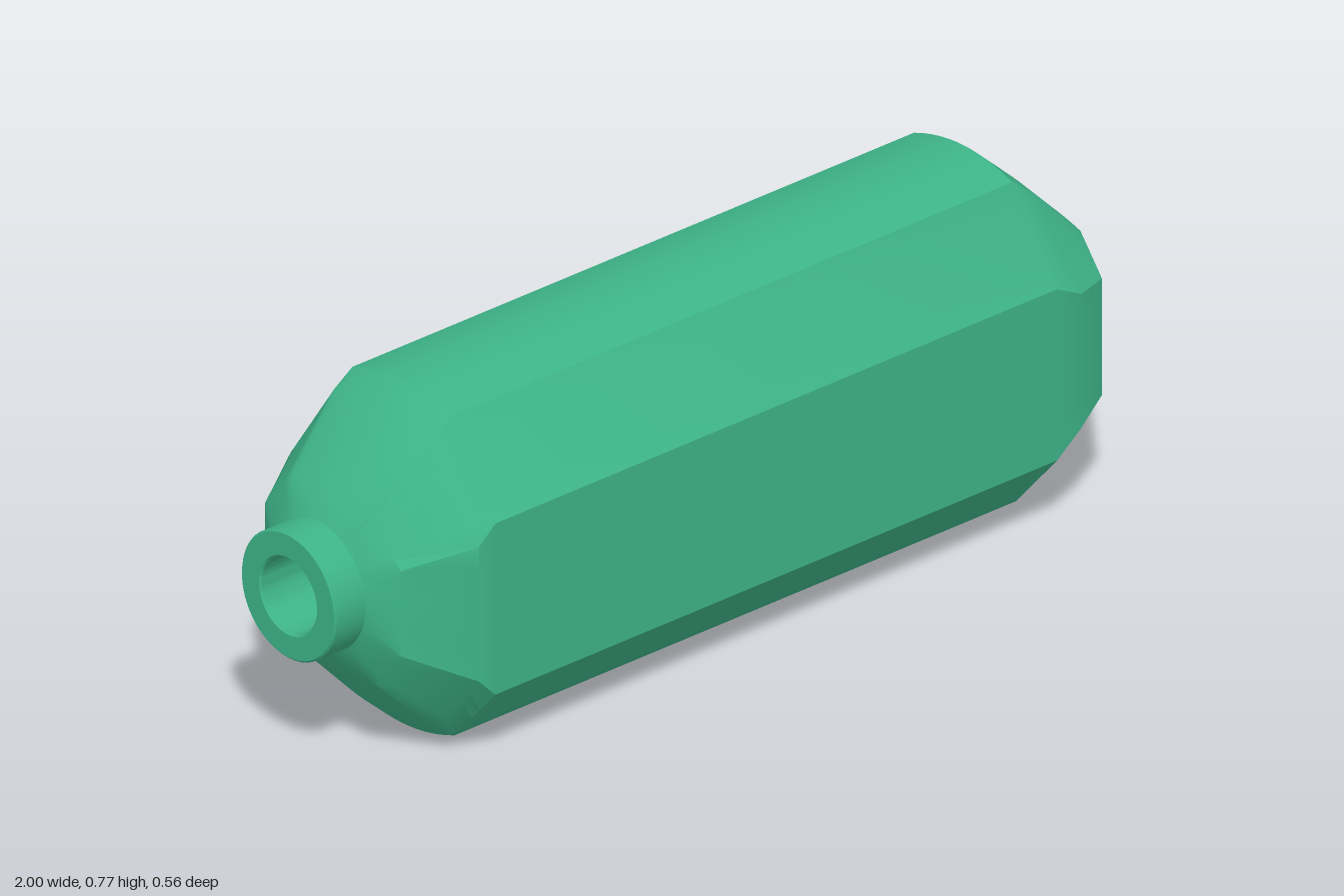
import * as THREE from 'three';
import { toCreasedNormals } from 'three/addons/utils/BufferGeometryUtils.js';

const MID_Y = 0.39;

// Expands half a section (top centre, top corner, side high, side low, bottom corner,
// bottom centre; each [x, y, z]) into a closed loop with bowed top and bottom edges.
function expand(half) {
  const steps = [8, 5, 6, 5, 8];
  const right = [];
  half.slice(0, 5).forEach((p, k) => {
    const q = half[k + 1];
    for (let i = 0; i < steps[k]; i++) {
      const t = i / steps[k];
      const bow = k === 0 ? t * t : k === 4 ? 1 - (1 - t) * (1 - t) : t;
      right.push(new THREE.Vector3(
        p[0] + (q[0] - p[0]) * t, p[1] + (q[1] - p[1]) * bow, p[2] + (q[2] - p[2]) * t));
    }
  });
  right.push(new THREE.Vector3(...half[5]));
  const left = right.slice(1, -1).reverse().map(p => new THREE.Vector3(p.x, p.y, -p.z));
  return [...right, ...left];
}

// x, y and z lists for the six half-section points
const section = (x, y, z) => expand(y.map((v, i) => [Array.isArray(x) ? x[i] : x, v, z[i]]));

// Circular loop matching the angles of another loop
const circle = (loop, x, r) => loop.map(p => {
  const a = Math.atan2(p.z, p.y - MID_Y);
  return new THREE.Vector3(x, MID_Y + r * Math.cos(a), r * Math.sin(a));
});

// Skins loops ordered along the body, leaving out collapsed triangles
function loft(loops, crease) {
  const pos = [];
  const tri = (a, b, c) => {
    if (a.distanceTo(b) < 1e-6 || b.distanceTo(c) < 1e-6 || a.distanceTo(c) < 1e-6) return;
    for (const p of [a, b, c]) pos.push(p.x, p.y, p.z);
  };
  for (let i = 0; i < loops.length - 1; i++) {
    const A = loops[i], B = loops[i + 1];
    for (let j = 0; j < A.length; j++) {
      const n = (j + 1) % A.length;
      tri(A[j], A[n], B[n]);
      tri(A[j], B[n], B[j]);
    }
  }
  const g = new THREE.BufferGeometry();
  g.setAttribute('position', new THREE.Float32BufferAttribute(pos, 3));
  return toCreasedNormals(g, crease);
}

export function createModel() {
  const group = new THREE.Group();
  const mint = new THREE.MeshStandardMaterial({ color: 0x3eb489 });
  mint.name = 'mint green';
  const add = (name, geometry) => {
    const mesh = new THREE.Mesh(geometry, mint);
    mesh.name = name;
    group.add(mesh);
    return mesh;
  };

  const mainY = [0.77, 0.742, 0.553, 0.17, 0.033, 0.002];
  const mainZ = [0, 0.145, 0.278, 0.278, 0.157, 0];

  // Shoulder, narrowing from the neck to the full section
  const shoulder = section(-0.88, [0.585, 0.575, 0.48, 0.29, 0.2, 0.19], [0, 0.125, 0.2, 0.2, 0.125, 0]);
  const shoulderOuter = section(-0.74, [0.732, 0.708, 0.515, 0.215, 0.068, 0.042], [0, 0.148, 0.278, 0.278, 0.155, 0]);
  const mainBack = section(-0.695, mainY, mainZ);

  // Tapered far end
  const mainFront = section(0.815, mainY, mainZ);
  const taper = section(0.88, [0.71, 0.688, 0.52, 0.22, 0.085, 0.062], [0, 0.15, 0.278, 0.278, 0.158, 0]);
  const endX = [1, 0.985, 0.975, 0.975, 0.98, 0.99];
  const endRim = section(endX, [0.597, 0.58, 0.505, 0.245, 0.172, 0.157], [0, 0.16, 0.235, 0.235, 0.16, 0]);

  // Recessed panel in the base
  const lipY = [0.556, 0.545, 0.472, 0.278, 0.208, 0.207];
  const lipZ = [0, 0.12, 0.194, 0.194, 0.103, 0];
  const lip = section([1, 0.99, 0.979, 0.979, 0.985, 0.99], lipY, lipZ);
  const floorEdge = section(0.957, lipY.map(y => MID_Y + (y - MID_Y) * 0.975), lipZ.map(z => z * 0.975));
  const floorCentre = floorEdge.map(() => new THREE.Vector3(0.957, MID_Y, 0));

  add('body', loft([
    circle(shoulder, -0.92, 0.138), circle(shoulder, -0.913, 0.15),
    shoulder, shoulderOuter, mainBack, mainFront, taper, endRim,
  ], 0.55));
  add('baseRim', loft([endRim, lip], 0.6));
  add('basePanel', loft([lip, floorEdge, floorCentre], 0.6));

  // Hollow round neck, turned about the long axis
  const profile = [
    [0.14, 0.9], [0.14, 0.996], [0.136, 1], [0.086, 1], [0.082, 0.996], [0.082, 0.7], [0, 0.7],
  ].map(p => new THREE.Vector2(...p));
  const neck = add('neck', toCreasedNormals(new THREE.LatheGeometry(profile, 64), 0.6));
  neck.rotation.z = Math.PI / 2;
  neck.position.y = MID_Y;

  return group;
}
